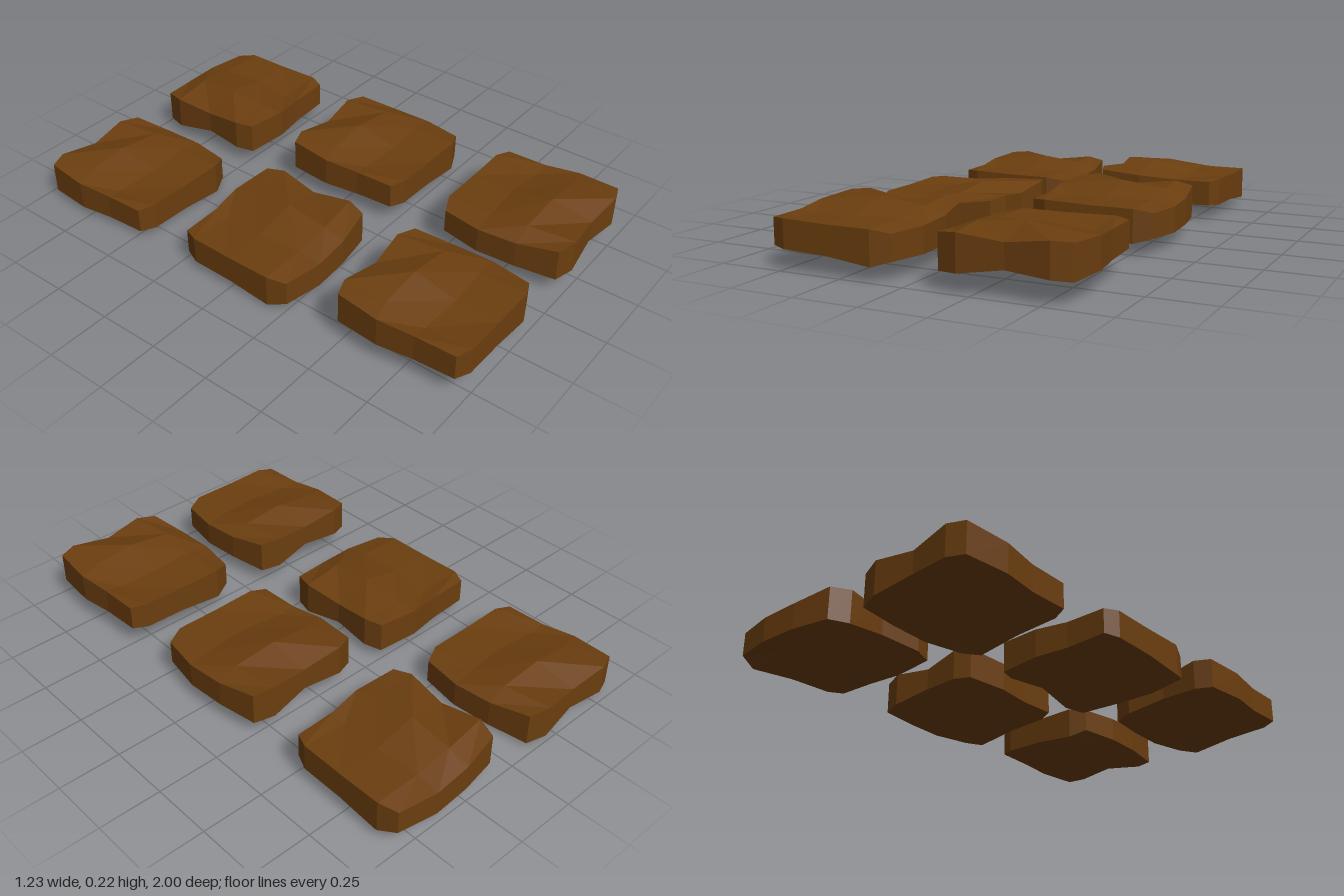
import * as THREE from 'three';

// Slab grid, back row to front row: [x, z, top height, underside height] in hundredths
const ROWS = [
  [[-25, -24, 18.5, 6], [-18, -26.5, 19, 6.5], [-1.5, -25, 16.5, 7.5], [15, -27, 18.5, 5], [23, -24.5, 17.5, 4.5]],
  [[-26.5, -6.5, 17.5, 6], [-18, -8.5, 18.5, 7], [-0.5, -8.5, 20.5, 7], [17.5, -8, 18.5, 4], [26, -8.5, 15.5, 5]],
  [[-24.5, 7.5, 16.5, 6], [-18, 7.5, 15.5, 6], [-0.5, 9, 16.5, 6], [17.5, 7.5, 16.5, 4.5], [27, 7.5, 15, 5]],
  [[-24, 24, 16.5, 6.5], [-18, 26.5, 17, 6], [-0.5, 26.5, 16.5, 5.5], [17.5, 26.5, 16.5, 3.5], [24.5, 23.5, 15, 5.5]],
];

function slabGeometry() {
  const nr = ROWS.length, nc = ROWS[0].length, count = nr * nc;
  const pos = [], index = [];
  // top vertices first, then the underside
  for (const h of [2, 3])
    for (const row of ROWS)
      for (const p of row) pos.push(p[0] / 100, p[h] / 100, p[1] / 100);

  const quad = (a, b, c, d) => index.push(a, b, c, a, c, d);
  for (let r = 0; r < nr - 1; r++) {
    for (let c = 0; c < nc - 1; c++) {
      const a = r * nc + c, b = a + nc;
      quad(a, b, b + 1, a + 1);
      quad(a + count, a + 1 + count, b + 1 + count, b + count);
    }
  }
  // rim, walked back, right, front, left
  const rim = [];
  for (let c = 0; c < nc - 1; c++) rim.push(c);
  for (let r = 0; r < nr - 1; r++) rim.push(r * nc + nc - 1);
  for (let c = nc - 1; c > 0; c--) rim.push((nr - 1) * nc + c);
  for (let r = nr - 1; r > 0; r--) rim.push(r * nc);
  rim.forEach((a, i) => {
    const b = rim[(i + 1) % rim.length];
    quad(a, b, b + count, a + count);
  });

  const g = new THREE.BufferGeometry();
  g.setAttribute('position', new THREE.Float32BufferAttribute(pos, 3));
  g.setIndex(index);
  const flat = g.toNonIndexed();
  flat.computeVertexNormals();
  return flat;
}

export function createModel() {
  const group = new THREE.Group();
  group.name = 'steppingSlabs';
  const material = new THREE.MeshStandardMaterial({ color: 0x6b3e0f, flatShading: true });
  const geometry = slabGeometry();

  // name, x, y, z, quarter turns
  const slabs = [
    ['backRightSlab', -0.35, -0.05, -0.72, 0],
    ['backLeftSlab', 0.325, -0.02, -0.73, 1],
    ['middleRightSlab', -0.33, -0.04, 0.005, -1],
    ['middleLeftSlab', 0.34, -0.005, -0.005, 0],
    ['frontRightSlab', -0.31, 0, 0.72, 0],
    ['frontLeftSlab', 0.35, 0.005, 0.725, 2],
  ];
  for (const [name, x, y, z, turns] of slabs) {
    const slab = new THREE.Mesh(geometry, material);
    slab.name = name;
    slab.position.set(x, y, z);
    slab.rotation.y = turns * Math.PI / 2;
    group.add(slab);
  }
  return group;
}
